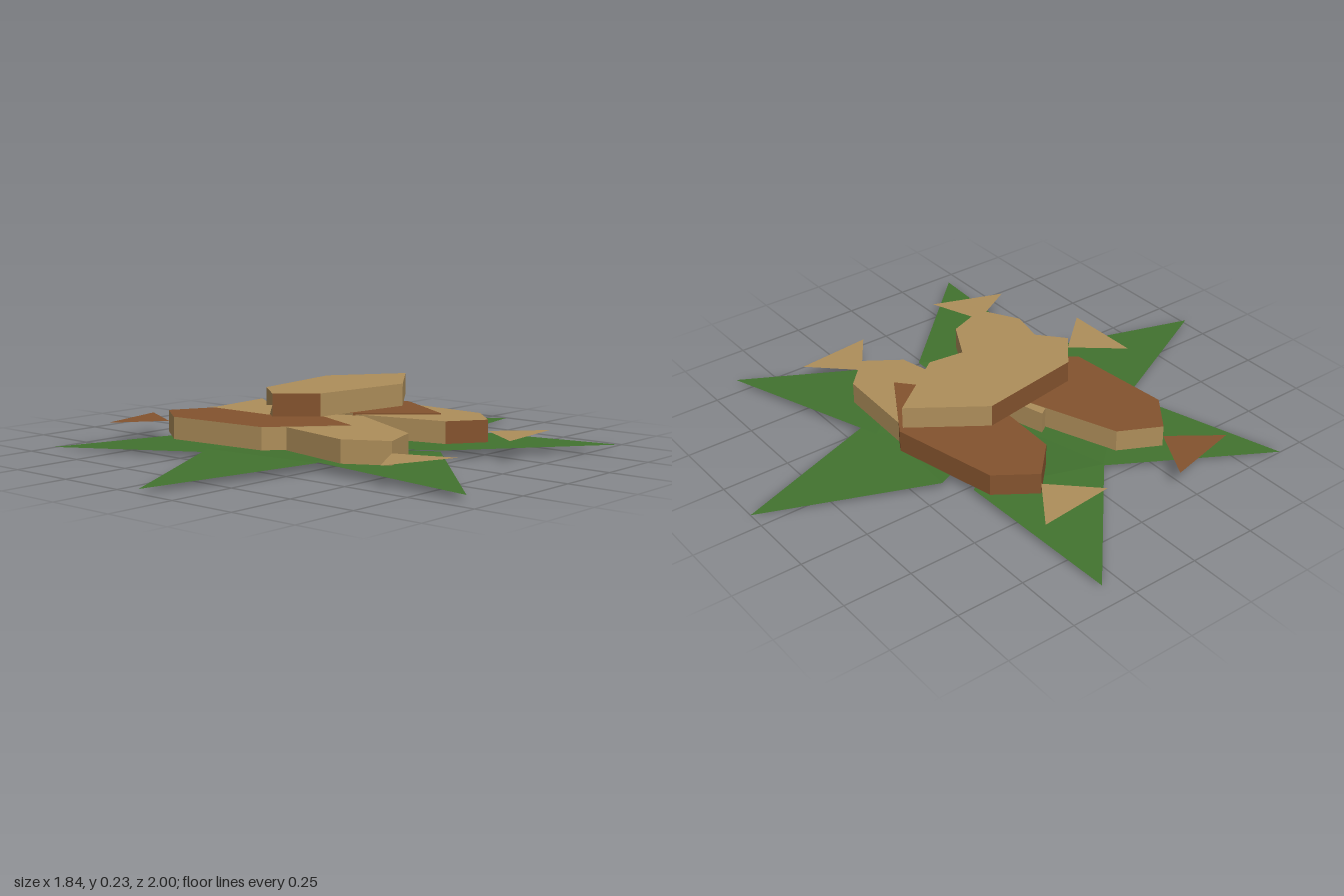
import * as THREE from 'three';

const mat = (name, color) => {
  const m = new THREE.MeshStandardMaterial({ color, side: THREE.DoubleSide, flatShading: true });
  m.name = name;
  return m;
};

export function createModel() {
  const group = new THREE.Group();
  group.name = 'fishOnLeaves';
  const tan = mat('tan', 0xae8e5a);
  const brown = mat('brown', 0x84532e);
  const green = mat('leafGreen', 0x42732f);

  // Flat horizontal polygon fan from [x, y, z] corners
  const sheet = (points, index) => {
    const g = new THREE.BufferGeometry();
    g.setAttribute('position', new THREE.Float32BufferAttribute(points.flat(), 3));
    g.setIndex(index);
    const flat = g.toNonIndexed();
    flat.computeVertexNormals();
    return flat;
  };

  // Leaves: kites with a raised middle, each given by its tip and shoulder height
  const leaves = [
    [0.07, 0, -1, 0.03], [0.8, 0.02, -0.64, 0.035], [0.92, 0.02, 0.43, 0.035],
    [0.1, 0.015, 1, 0.03], [-0.75, 0.002, 0.65, 0.025], [-0.92, 0.01, -0.32, 0.028],
  ];
  leaves.forEach(([x, y, z, rise], i) => {
    const len = Math.hypot(x, z), dx = x / len, dz = z / len;
    const shoulder = (s) => [dx * 0.4 - dz * 0.235 * s, rise, dz * 0.4 + dx * 0.235 * s];
    const geo = sheet([[0, 0.001, 0], shoulder(-1), [x, y, z], shoulder(1)], [0, 3, 1, 1, 3, 2]);
    const leaf = new THREE.Mesh(geo, green);
    leaf.name = 'leaf' + (i + 1);
    group.add(leaf);
  });

  // Fish outline: tail joint at the origin, nose towards +x
  const outline = [[0, 0], [0.11, -0.13], [0.51, -0.185], [0.765, 0], [0.51, 0.185], [0.11, 0.13]];
  const tailGeo = sheet([[0, 0, 0], [-0.167, 0, -0.143], [-0.167, 0, 0.143]], [0, 1, 2]);

  // sides: one material index per outline edge (0 tan, 1 brown)
  function addFish({ name, joint, nose, y, cap, sides, tailMat }) {
    const dx = nose[0] - joint[0], dz = nose[1] - joint[1];
    const s = Math.hypot(dx, dz) / 0.765;
    const shape = new THREE.Shape(outline.map(([u, v]) => new THREE.Vector2(u * s, v * s)));
    const geo = new THREE.ExtrudeGeometry(shape, { depth: 0.08, bevelEnabled: false });
    const capCount = geo.groups[0].count;
    const n = outline.length;
    geo.clearGroups();
    geo.addGroup(0, capCount, cap);
    for (let k = 0; k < n; k++) geo.addGroup(capCount + k * 6, 6, sides[(2 * n - 2 - k) % n]);
    geo.rotateX(-Math.PI / 2);

    const fish = new THREE.Group();
    fish.name = name;
    const body = new THREE.Mesh(geo, [tan, brown]);
    body.name = 'body';
    const tail = new THREE.Mesh(tailGeo, tailMat);
    tail.name = 'tail';
    tail.position.y = 0.04;
    fish.add(body, tail);
    fish.position.set(joint[0], y, joint[1]);
    fish.rotation.y = Math.atan2(-dz, dx);
    group.add(fish);
  }

  addFish({ name: 'topFish', joint: [0.01, 0.31], nose: [0, -0.43], y: 0.15,
    cap: 0, sides: [1, 0, 0, 0, 1, 0], tailMat: tan });
  addFish({ name: 'backLeftFish', joint: [0.49, -0.28], nose: [-0.21, -0.21], y: 0.04,
    cap: 0, sides: [0, 0, 0, 0, 0, 1], tailMat: tan });
  addFish({ name: 'backRightFish', joint: [-0.47, -0.2], nose: [0.29, -0.27], y: 0.044,
    cap: 1, sides: [1, 1, 1, 0, 1, 1], tailMat: tan });
  addFish({ name: 'frontLeftFish', joint: [0.52, 0.29], nose: [-0.19, 0.03], y: 0.04,
    cap: 0, sides: [0, 0, 0, 0, 0, 0], tailMat: tan });
  addFish({ name: 'frontRightFish', joint: [-0.51, 0.31], nose: [0.22, 0.14], y: 0.042,
    cap: 1, sides: [0, 0, 0, 0, 0, 0], tailMat: brown });

  return group;
}
